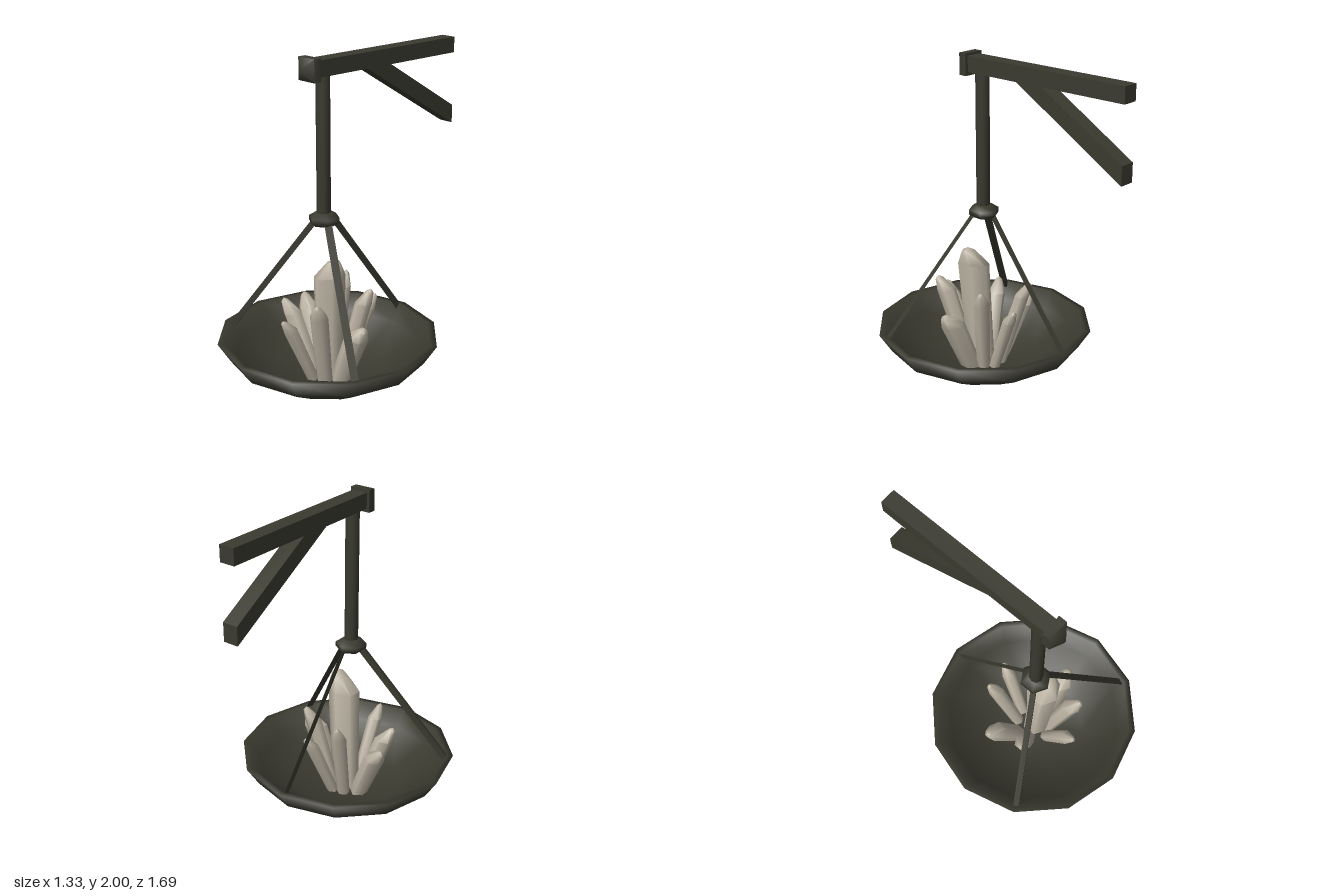
import * as THREE from 'three';
import { toCreasedNormals } from 'three/addons/utils/BufferGeometryUtils.js';

const V = (x, y, z) => new THREE.Vector3(x, y, z);
const SMOOTH = Math.PI;

export function createModel() {
  const group = new THREE.Group();
  const iron = new THREE.MeshStandardMaterial({ color: 0x3b3a30, side: THREE.DoubleSide });
  iron.name = 'dark iron';
  const stone = new THREE.MeshStandardMaterial({ color: 0xb9b1a1 });
  stone.name = 'pale crystal';
  const cx = -0.013; // the hanging frame sits slightly off the bowl's axis

  const add = (name, geo, mat, x = 0, y = 0, z = 0, crease = SMOOTH) => {
    const mesh = new THREE.Mesh(toCreasedNormals(geo, crease), mat);
    mesh.name = name;
    mesh.position.set(x, y, z);
    group.add(mesh);
    return mesh;
  };
  const lathe = (pts, sides) =>
    new THREE.LatheGeometry(pts.map(([r, y]) => new THREE.Vector2(r, y)), sides);

  // Bowl: outer shell, rim and inner shell
  add('bowl', lathe([
    [0, 0], [0.345, 0.066], [0.587, 0.207], [0.663, 0.326],
    [0.625, 0.326], [0.555, 0.23], [0.33, 0.1], [0, 0.045],
  ], 12), iron, 0, 0, 0.18);

  // Wall beam and the column hanging from it
  add('beam', new THREE.BoxGeometry(0.095, 0.095, 1.113), iron, cx, 1.938, -0.288, 0.6);
  add('column', new THREE.CylinderGeometry(0.041, 0.041, 0.82, 8), iron, cx, 1.49, 0.195, 0.9);

  // Slanted brace, cut vertically at the wall
  const brace = new THREE.Shape([
    [0.09, 1.9], [0.28, 1.9], [0.844, 1.563], [0.844, 1.452],
  ].map(([back, y]) => new THREE.Vector2(back, y)));
  add('brace', new THREE.ExtrudeGeometry(brace, { depth: 0.095, bevelEnabled: false })
    .translate(0, 0, -0.0475).rotateY(Math.PI / 2), iron, cx, 0, 0, 0.6);

  // Square finial closing the beam's front end
  const corner = 0.065 * Math.SQRT2;
  add('finial', lathe([
    [0, 0], [corner, 0], [corner, 0.05], [0.01, 0.097], [0, 0.097],
  ], 4).rotateY(Math.PI / 4).rotateX(Math.PI / 2), iron, cx, 1.935, 0.264, 1);

  // Hexagonal hub holding the struts
  add('hub', lathe([
    [0, 1.02], [0.07, 1.02], [0.092, 1.038], [0.092, 1.067], [0.05, 1.094], [0, 1.094],
  ], 6), iron, cx, 0, 0.192);

  // Strut from a to b whose broad side faces n: a flat strap, or a square bar if thick
  const strut = (name, a, b, n, width, thick) => {
    const along = b.clone().sub(a);
    const length = along.length();
    along.normalize();
    const side = along.clone().cross(n).normalize();
    const face = side.clone().cross(along);
    const mid = a.clone().lerp(b, 0.5);
    const geo = thick ? new THREE.BoxGeometry(width, length, thick)
      : new THREE.PlaneGeometry(width, length);
    geo.applyMatrix4(new THREE.Matrix4().makeBasis(side, along, face));
    add(name, geo, iron, mid.x, mid.y, mid.z, 0.6);
  };
  strut('leftStrut', V(0.05, 1.04, 0.22), V(0.54, 0.31, 0.475), V(0.75, 0.56, 0.35), 0.046);
  strut('rightStrut', V(-0.06, 1.04, 0.22), V(-0.525, 0.31, 0.49), V(-0.75, 0.5, 0.43), 0.034, 0.034);
  strut('backStrut', V(cx, 1.04, 0.12), V(cx, 0.31, -0.438), V(1, 0, 0), 0.042);

  // Crystal: six-sided shaft with a slanted shoulder and a tip pushed towards (ox, oz)
  const crystal = (name, base, tip, r, tipLength, ox, oz) => {
    const push = r * 0.4;
    const axis = tip.clone().sub(base).sub(V(ox * push, 0, oz * push));
    const h = axis.length();
    const shoulder = h - tipLength;
    const geo = lathe([
      [0, 0], [r * 0.86, 0], [r, shoulder], [r * 0.42, h - tipLength * 0.18], [0, h],
    ], 6);
    const p = geo.attributes.position;
    for (let i = 0; i < p.count; i++) {
      const y = p.getY(i);
      if (y > shoulder + 0.001) {
        p.setX(i, p.getX(i) + ox * push);
        p.setZ(i, p.getZ(i) + oz * push);
      } else if (y > 0.01) {
        p.setY(i, y + (p.getX(i) * ox + p.getZ(i) * oz) * 0.25);
      }
    }
    const mesh = add(name, geo, stone, base.x, base.y, base.z, 1.1);
    mesh.quaternion.setFromUnitVectors(V(0, 1, 0), axis.normalize());
  };
  crystal('mainCrystal', V(0.02, 0.06, 0.19), V(0.1, 0.845, 0.22), 0.097, 0.12, 1, 0);

  // Ring of smaller crystals leaning outwards: tip position and radius
  [
    [-0.12, 0.635, -0.085, 0.046], [0.08, 0.525, -0.14, 0.043],
    [0.2, 0.635, 0.02, 0.05], [0.33, 0.485, 0.2, 0.07],
    [0.165, 0.63, 0.415, 0.056], [-0.015, 0.515, 0.52, 0.044],
    [-0.265, 0.52, 0.3, 0.056], [-0.33, 0.48, 0.08, 0.062],
  ].forEach(([x, y, z, r], i) => {
    const base = V(x * 0.35, 0.07, 0.18 + (z - 0.18) * 0.35);
    const out = V(x, 0, z - 0.18).normalize();
    crystal('smallCrystal' + (i + 1), base, V(x, y, z), r, 0.1, out.x, out.z);
  });

  return group;
}
